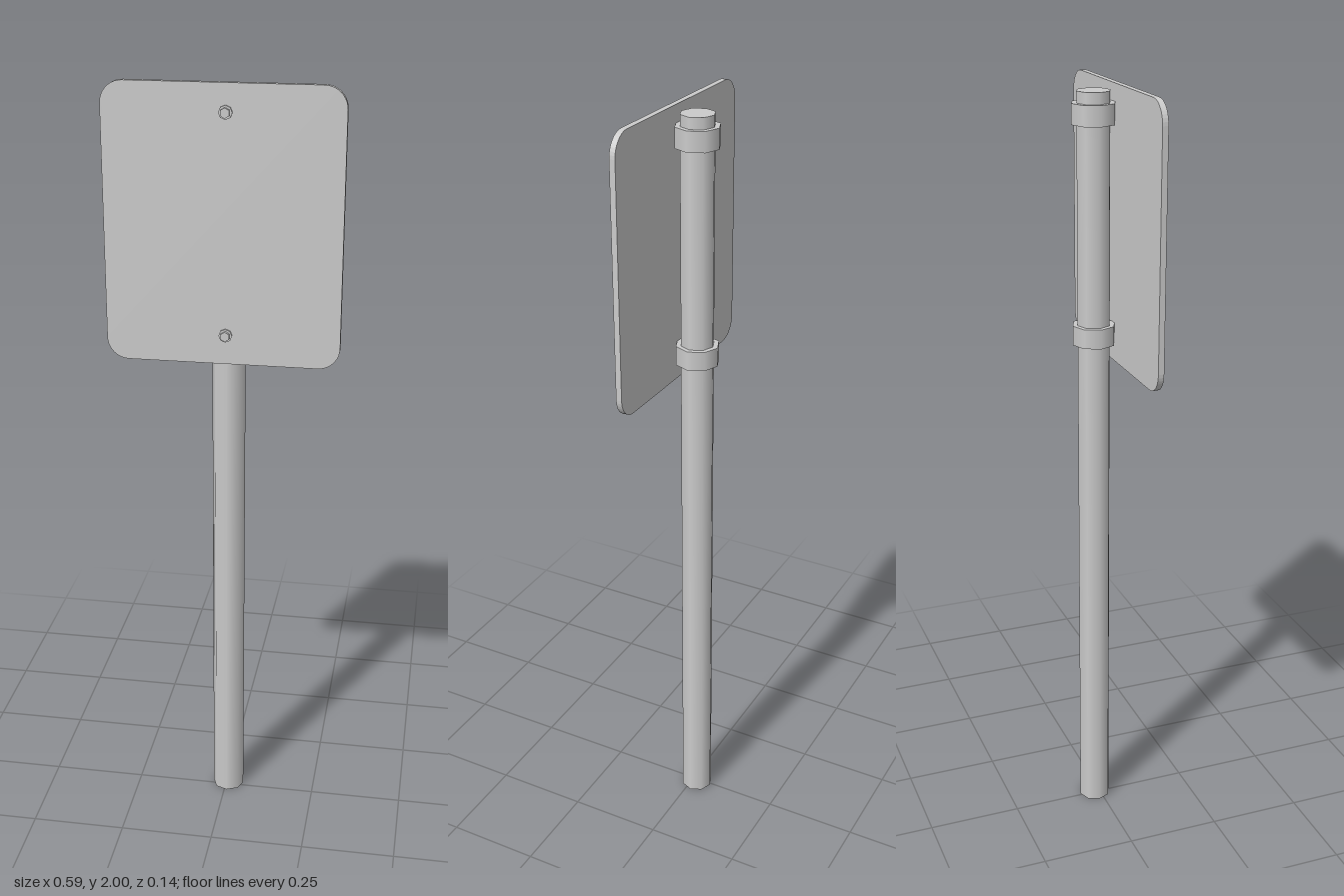
import * as THREE from 'three';

const material = new THREE.MeshStandardMaterial({ color: 0xcccccc });
const POLE_X = 0.006, POLE_Z = -0.014;
const PLATE_BACK = 0.038, PLATE_FRONT = 0.053;

function addMesh(parent, name, geometry, x, y, z) {
  const mesh = new THREE.Mesh(geometry, material);
  mesh.name = name;
  mesh.position.set(x, y, z);
  parent.add(mesh);
  return mesh;
}

// Rounded rectangle centred on the origin
function roundedRect(w, h, r) {
  const x = w / 2 - r, y = h / 2 - r;
  const shape = new THREE.Shape();
  shape.absarc(x, y, r, 0, Math.PI / 2);
  shape.absarc(-x, y, r, Math.PI / 2, Math.PI);
  shape.absarc(-x, -y, r, Math.PI, Math.PI * 1.5);
  shape.absarc(x, -y, r, Math.PI * 1.5, Math.PI * 2);
  shape.closePath();
  return shape;
}

// Cylinder whose axis runs front to back
function boltDisc(radius, depth, sides) {
  return new THREE.CylinderGeometry(radius, radius, depth, sides).rotateX(Math.PI / 2);
}

export function createModel() {
  const sign = new THREE.Group();
  sign.name = 'signPost';

  // Eight-sided pole
  addMesh(sign, 'pole', new THREE.CylinderGeometry(0.043, 0.043, 1.985, 8), POLE_X, 0.9925, POLE_Z);

  // Blank plate with rounded corners
  const plate = new THREE.ExtrudeGeometry(roundedRect(0.588, 0.69, 0.055), {
    depth: PLATE_FRONT - PLATE_BACK, bevelEnabled: false, curveSegments: 5,
  });
  addMesh(sign, 'plate', plate, 0, 1.655, PLATE_BACK);

  // Upper and lower clamps, each with a bolt through the plate
  for (const [level, y] of [['upper', 1.932], ['lower', 1.385]]) {
    const clamp = new THREE.Group();
    clamp.name = level + 'Clamp';
    clamp.position.set(POLE_X, y, 0);
    sign.add(clamp);
    addMesh(clamp, 'collar', new THREE.CylinderGeometry(0.056, 0.056, 0.05, 8), 0, 0, POLE_Z);
    addMesh(clamp, 'washer', boltDisc(0.017, 0.006, 8), 0.002, 0, PLATE_FRONT + 0.002);
    addMesh(clamp, 'boltHead', boltDisc(0.0125, 0.011, 6), 0.002, 0, PLATE_FRONT + 0.0085);
  }
  return sign;
}
